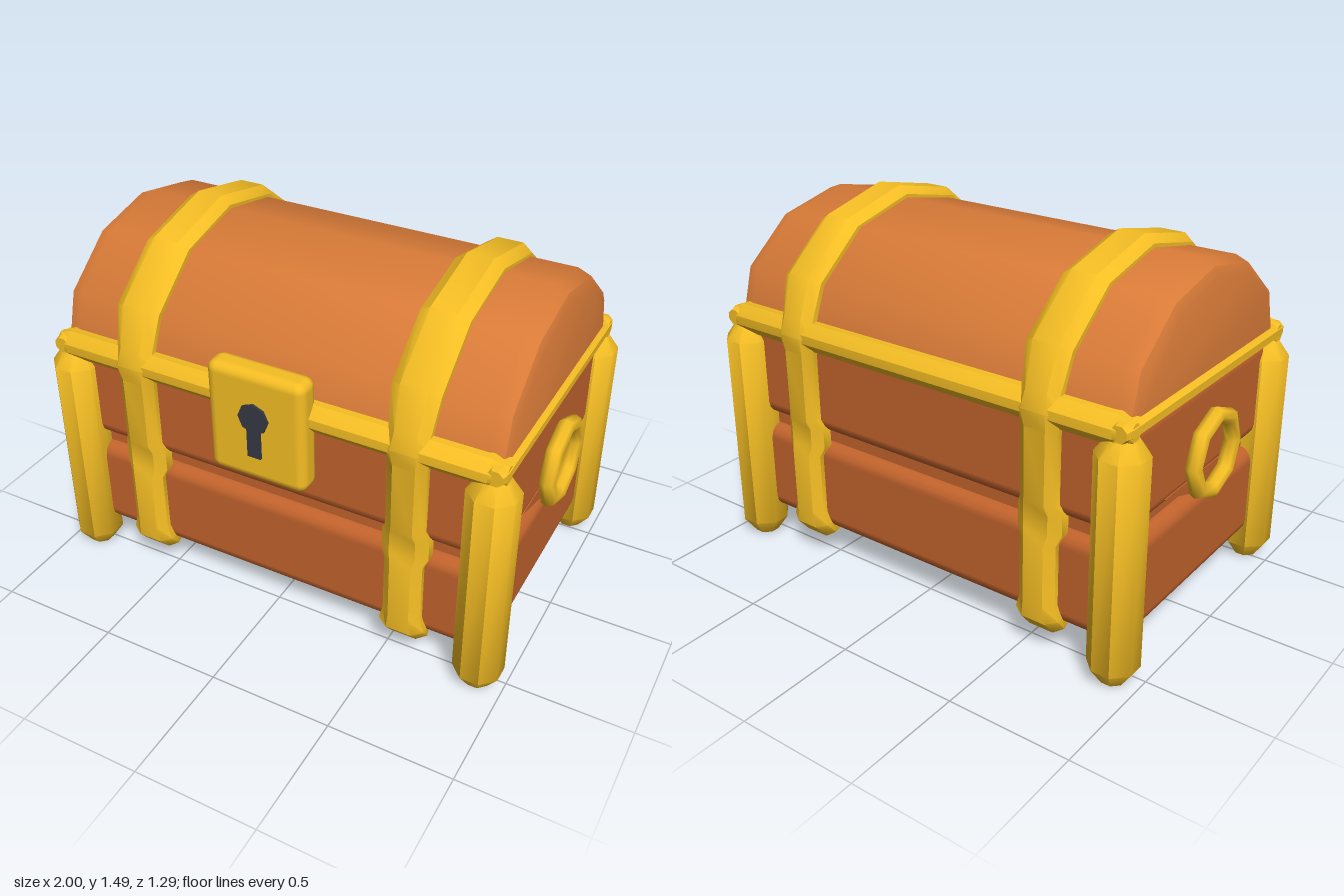
import * as THREE from 'three';
import { toCreasedNormals } from 'three/addons/utils/BufferGeometryUtils.js';
import { RoundedBoxGeometry } from 'three/addons/geometries/RoundedBoxGeometry.js';

const mat = (color, side = THREE.FrontSide) => new THREE.MeshStandardMaterial({ color, side });

// Skin a list of equal-sized rings of [x, y, z]; open lofts get flat caps.
function loft(rings, closed = false, crease = 0.7) {
  const n = rings[0].length, m = rings.length, index = [];
  const pts = rings.flat();
  for (let i = 0; i < (closed ? m : m - 1); i++) {
    for (let j = 0; j < n; j++) {
      const a = i * n + j, b = i * n + (j + 1) % n;
      const c = ((i + 1) % m) * n + j, d = ((i + 1) % m) * n + (j + 1) % n;
      index.push(a, b, d, a, d, c);
    }
  }
  if (!closed) {
    const e = (m - 1) * n;
    for (let j = 1; j < n - 1; j++) index.push(0, j + 1, j, e, e + j, e + j + 1);
  }
  // Make the faces point outward
  let volume = 0;
  const v = pts.map(p => new THREE.Vector3(...p));
  for (let i = 0; i < index.length; i += 3) {
    volume += v[index[i]].dot(v[index[i + 1]].clone().cross(v[index[i + 2]]));
  }
  if (volume < 0) index.reverse();
  const g = new THREE.BufferGeometry();
  g.setAttribute('position', new THREE.Float32BufferAttribute(pts.flat(), 3));
  g.setIndex(index);
  return toCreasedNormals(g, crease);
}

// Eight-sided bar along y with tapered ends; w and d are half sizes, f the flat share.
function bar(w, d, length, f, taper, endScale) {
  const ring = (y, s) => [[f, 1], [1, f], [1, -f], [f, -1], [-f, -1], [-1, -f], [-1, f], [-f, 1]]
    .map(([x, z]) => [x * w * s, y, z * d * s]);
  const h = length / 2;
  return loft([ring(-h, endScale), ring(-h + taper, 1), ring(h - taper, 1), ring(h, endScale)]);
}

export function createModel() {
  const root = new THREE.Group();
  const chest = new THREE.Group();
  chest.name = 'chest';
  chest.position.z = -0.012;
  root.add(chest);

  const gold = mat(0xf5be24), wood = mat(0xc2632c), lidWood = mat(0xd97b38), dark = mat(0x363a44);
  const add = (name, geometry, material, x = 0, y = 0, z = 0, parent = chest) => {
    const mesh = new THREE.Mesh(geometry, material);
    mesh.name = name;
    mesh.position.set(x, y, z);
    parent.add(mesh);
    return mesh;
  };

  // Body: two thick planks around a recessed core
  add('lowerPlank', new RoundedBoxGeometry(1.84, 0.395, 1.1, 2, 0.06), wood, 0, 0.3325, 0);
  add('upperPlank', new RoundedBoxGeometry(1.84, 0.42, 1.1, 2, 0.06), wood, 0, 0.79, 0);
  add('core', new THREE.BoxGeometry(1.74, 0.3, 1.0), wood, 0, 0.555, 0);

  // Domed lid with rounded ends
  const half = [[0.28, 1.38], [0.5, 1.2], [0.555, 1.0]];
  const profile = [...half.map(([z, y]) => [-z, y]).reverse(), [0, 1.44], ...half];
  const lidRing = (x, s) => profile.map(([z, y]) => [x, 1 + (y - 1) * s, z * (0.4 + 0.6 * s)]);
  const ends = [[0.93, 0.86], [0.915, 0.95], [0.86, 1]];
  add('lid', loft([
    ...ends.map(([x, s]) => lidRing(-x, s)),
    ...ends.slice().reverse().map(([x, s]) => lidRing(x, s)),
  ]), lidWood);

  // Rim between body and lid
  for (const s of [-1, 1]) {
    add('longRim', bar(0.06, 0.055, 1.89, 0.3, 0.06, 0.6), gold, 0, 1.0, s * 0.55).rotation.z = Math.PI / 2;
    add('sideRim', bar(0.04, 0.038, 1.2, 0.4, 0.03, 0.8), gold, s * 0.908, 1.005, 0).rotation.x = Math.PI / 2;
  }

  // Corner posts
  for (const x of [-1, 1]) {
    for (const z of [-1, 1]) {
      add('cornerPost', bar(0.0925, 0.092, 0.98, 0.4, 0.07, 0.5), gold, x * 0.8925, 0.49, z * 0.54);
    }
  }

  // Straps running all the way round: [z, y, half width]
  const side = [
    [0.31, 1.415, 0.095], [0.54, 1.23, 0.095], [0.592, 1.07, 0.08], [0.612, 1.0, 0.095],
    [0.6, 0.93, 0.08], [0.6, 0.64, 0.078], [0.588, 0.6, 0.095], [0.588, 0.52, 0.095],
    [0.6, 0.48, 0.078], [0.6, 0.22, 0.078], [0.595, 0.15, 0.095], [0.54, 0.085, 0.095],
    [0.46, 0.085, 0.078],
  ];
  const path = [[0, 1.485, 0.095], ...side, ...side.map(([z, y, w]) => [-z, y, w]).reverse()];
  const strapRings = path.map(([z, y, w], i) => {
    const a = path[(i + path.length - 1) % path.length], b = path[(i + 1) % path.length];
    const dz = b[0] - a[0], dy = b[1] - a[1], len = Math.hypot(dz, dy);
    const nz = dy / len, ny = -dz / len; // inward direction
    return [[-w, 0.07], [-w, 0.03], [-w * 0.55, 0], [w * 0.55, 0], [w, 0.03], [w, 0.07]]
      .map(([x, t]) => [x, y + ny * t, z + nz * t]);
  });
  const strap = loft(strapRings, true, 0.6);
  for (const s of [-1, 1]) add('strap', strap, gold, s * 0.578);

  // Ring handles, each on a shallow wedge below the upper plank
  const wedge = new THREE.Shape([[-0.27, 0.62], [0, 0.535], [0.27, 0.62]].map(p => new THREE.Vector2(...p)));
  for (const s of [-1, 1]) {
    add('handle', new THREE.TorusGeometry(0.153, 0.034, 8, 8), gold, s * 0.964, 0.71, 0).rotation.y = Math.PI / 2;
    const w = add('handleWedge', new THREE.ExtrudeGeometry(wedge, { depth: 0.06, bevelEnabled: false }), wood,
      s > 0 ? 0.86 : -0.92);
    w.rotation.y = Math.PI / 2;
  }

  // Lock plate with keyhole
  const lock = new THREE.Group();
  lock.name = 'lock';
  root.add(lock);
  add('lockPlate', new RoundedBoxGeometry(0.41, 0.475, 0.11, 2, 0.04), gold, 0, 0.93, 0.577, lock);
  add('keyholeTop', new THREE.CylinderGeometry(0.063, 0.063, 0.03, 8), dark, 0, 0.98, 0.627, lock)
    .rotation.x = Math.PI / 2;
  add('keyholeSlot', new THREE.BoxGeometry(0.056, 0.15, 0.03), dark, 0, 0.885, 0.627, lock);

  return root;
}
